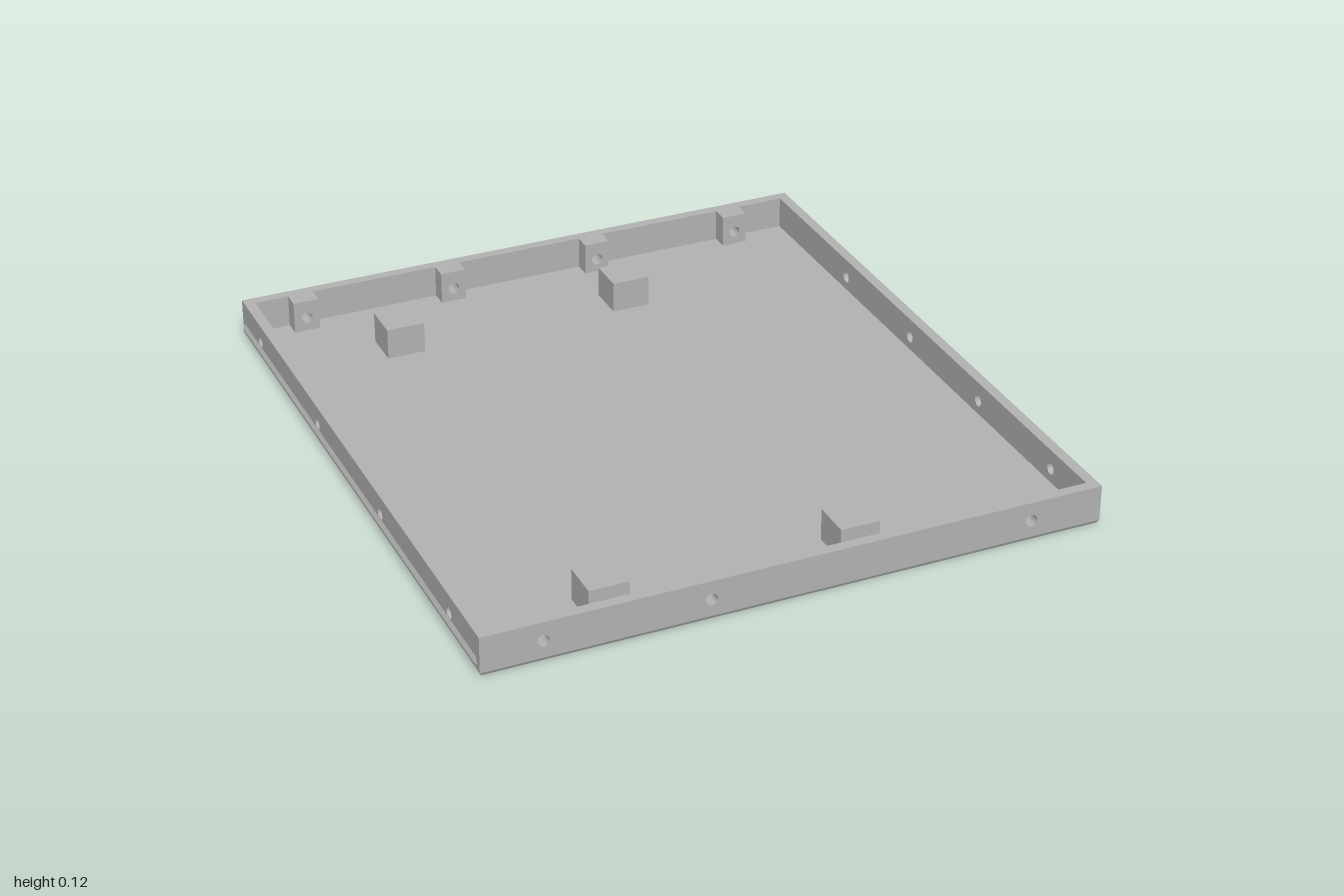
import * as THREE from 'three';

const XL = -0.917, XR = 0.925, T = 0.032, H = 0.12;
const BASE = 0.01, FLOOR = 0.02, HOLE_Y = 0.062, HOLE_R = 0.018;

// Rectangle with round holes, extruded along +z.
function plate(a0, a1, b0, b1, depth, holes = []) {
  const s = new THREE.Shape([[a0, b0], [a1, b0], [a1, b1], [a0, b1]].map(p => new THREE.Vector2(...p)));
  for (const [u, v, r] of holes) {
    const p = new THREE.Path();
    p.absarc(u, v, r, 0, Math.PI * 2, true);
    s.holes.push(p);
  }
  return new THREE.ExtrudeGeometry(s, { depth, bevelEnabled: false, curveSegments: 10 });
}

// Polygon profile extruded along +z.
function bar(points, depth) {
  const s = new THREE.Shape(points.map(p => new THREE.Vector2(...p)));
  return new THREE.ExtrudeGeometry(s, { depth, bevelEnabled: false });
}

export function createModel() {
  const group = new THREE.Group();
  const grey = new THREE.MeshStandardMaterial({ color: 0xb2b2b2 });
  grey.name = 'grey plastic';
  const add = (name, geometry, x = 0, y = 0, z = 0) => {
    const m = new THREE.Mesh(geometry, grey);
    m.name = name;
    m.position.set(x, y, z);
    group.add(m);
    return m;
  };
  const wallHoles = list => list.map(u => [u, HOLE_Y, HOLE_R]);
  const posts = [-0.515, 0.225].flatMap(x => [-0.705, 0.85].map(z => [x, z]));
  const flat = g => g.rotateX(Math.PI / 2); // shape (x, y) becomes (x, z), extruded downward

  // Floor in two layers; the lower one has a slight chamfer at its foot.
  const screwHoles = posts.map(([x, z]) => [x, z, 0.014]);
  const lower = flat(plate(XL, XR, -1, 1, BASE, screwHoles));
  const pos = lower.attributes.position;
  for (let i = 0; i < pos.count; i++) {
    const x = pos.getX(i), z = pos.getZ(i);
    if (pos.getY(i) < -BASE / 2 && Math.abs(z) > 0.99) {
      pos.setX(i, x - Math.sign(x) * 0.005);
      pos.setZ(i, z - Math.sign(z) * 0.005);
    }
  }
  lower.computeVertexNormals();
  add('floorBase', lower, 0, BASE, 0);
  add('floor', flat(plate(XL + T - 0.002, XR - T + 0.002, -1 + T - 0.002, 1 - T + 0.002, FLOOR - BASE, screwHoles)), 0, FLOOR, 0);

  // Front and side walls with screw holes.
  add('frontWall', plate(XL, XR, BASE, H, T, wallHoles([-0.74, -0.26, 0.705])), 0, 0, 1 - T);
  const sideWall = (name, zs, x) =>
    add(name, plate(-1 + T, 1 - T, BASE, H, T, wallHoles(zs.map(z => -z))).rotateY(Math.PI / 2), x, 0, 0);
  sideWall('leftWall', [0.78, 0.36, -0.065, -0.49], XR - T);
  sideWall('rightWall', [0.78, 0.245, -0.29, -0.825], XL);

  // Back wall: drilled upper part over a grooved lower strip.
  const backHoles = [-0.74, -0.26, 0.225, 0.705];
  add('backWall', plate(XL, XR, 0.042, H, T, wallHoles(backHoles)), 0, 0, -1);
  const groove = bar([[1 - T, BASE], [1, BASE], [1, 0.018], [0.99, 0.03], [1, 0.042], [1 - T, 0.042]], XR - XL);
  add('backGroove', groove.rotateY(Math.PI / 2), XL, 0, 0);

  // Matching ridge along the right wall.
  add('sideRidge', bar([[XL + 0.002, 0.02], [XL + 0.002, 0.05], [-0.925, 0.035]], 1.96), 0, 0, -0.98);

  // Drilled bosses behind the back wall holes.
  for (const x of backHoles)
    add('backBoss', plate(x - 0.04, x + 0.04, FLOOR, H, 0.053, wallHoles([x])), 0, 0, -1 + T);

  // Square posts, hollow from below.
  const half = 0.059, cap = 0.09, top = 0.117;
  for (const [x, z] of posts) {
    add('post', flat(plate(-half, half, -half, half, cap - FLOOR, [[0, 0, 0.014]])), x, cap, z);
    add('postCap', new THREE.BoxGeometry(half * 2, top - cap, half * 2), x, (top + cap) / 2, z);
  }
  return group;
}
